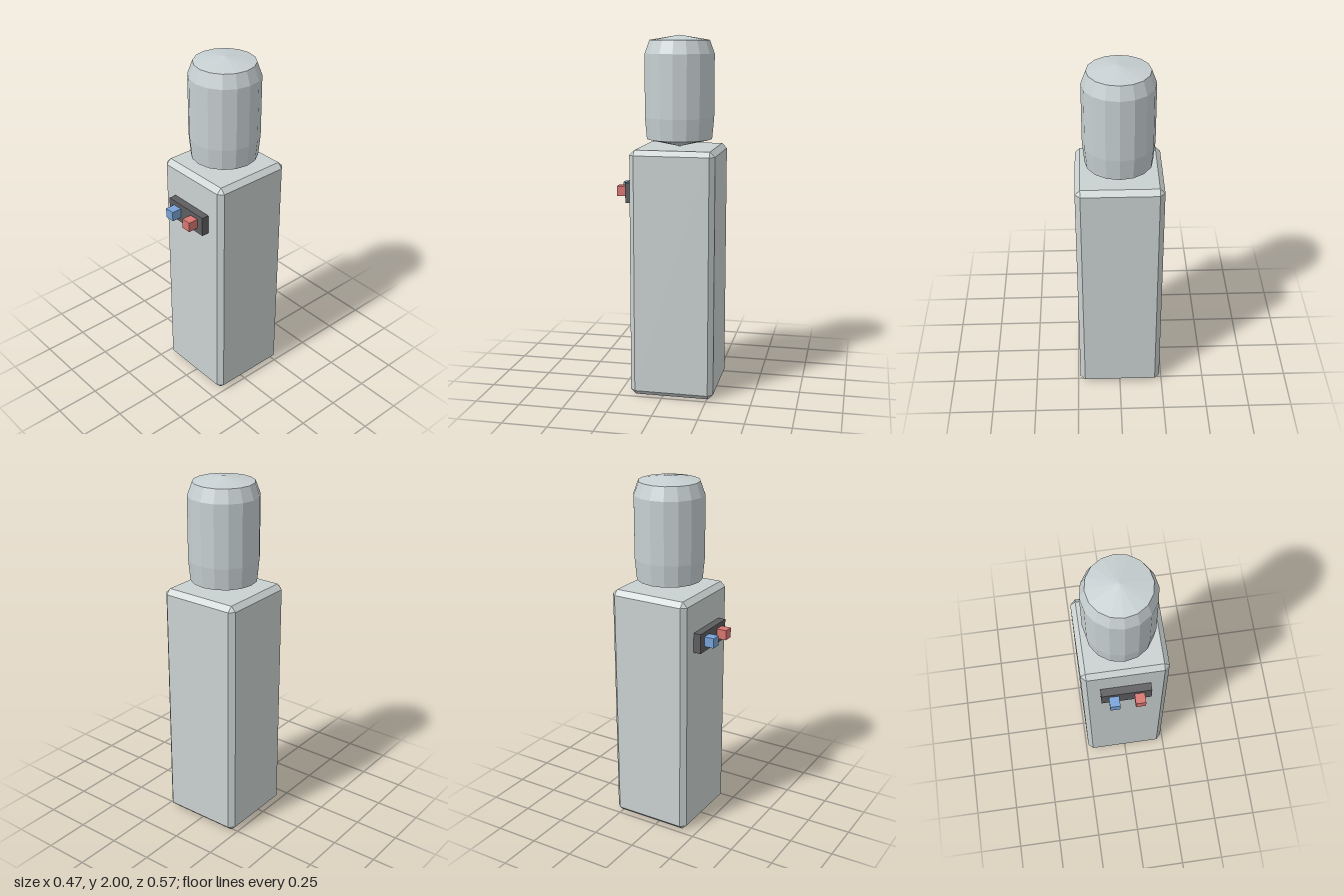
import * as THREE from 'three';
import { ConvexGeometry } from 'three/addons/geometries/ConvexGeometry.js';

function material(name, color) {
  const m = new THREE.MeshStandardMaterial({ color, flatShading: true });
  m.name = name;
  return m;
}

// Box with all edges cut at 45 degrees and small triangular corners
function chamferBox(w, h, d, c) {
  const points = [];
  for (const sx of [-1, 1]) for (const sy of [-1, 1]) for (const sz of [-1, 1]) {
    for (let axis = 0; axis < 3; axis++) {
      const inset = [c, c, c];
      inset[axis] = 0;
      points.push(new THREE.Vector3(
        sx * (w / 2 - inset[0]), sy * (h / 2 - inset[1]), sz * (d / 2 - inset[2])));
    }
  }
  return new ConvexGeometry(points);
}

export function createModel() {
  const model = new THREE.Group();
  model.name = 'waterCooler';

  const casing = material('casing grey', 0xcad2d1);
  const bottleGrey = material('bottle grey', 0xc7d0d2);
  const dark = material('dark panel', 0x5e5d60);
  const blue = material('cold blue', 0x78a3d8);
  const red = material('hot red', 0xd87672);

  function add(name, geometry, mat, x, y, z) {
    const mesh = new THREE.Mesh(geometry, mat);
    mesh.name = name;
    mesh.position.set(x, y, z);
    model.add(mesh);
  }

  // Cabinet
  add('cabinet', chamferBox(0.474, 1.39, 0.47, 0.028), casing, 0, 0.695, -0.05);

  // Upturned bottle with conical ends
  const profile = [
    [0, 1.392], [0.183, 1.435], [0.194, 1.555], [0.194, 1.9], [0.167, 1.973], [0, 2],
  ].map(([r, y]) => new THREE.Vector2(r, y));
  add('bottle', new THREE.LatheGeometry(profile, 16), bottleGrey, 0, 0, -0.05);

  // Tap panel and the two taps
  add('tapPanel', new THREE.BoxGeometry(0.277, 0.112, 0.043), dark, 0, 1.142, 0.2065);
  for (const [name, mat, x] of [['coldTap', blue, -0.07], ['hotTap', red, 0.07]]) {
    add(name, new THREE.BoxGeometry(0.056, 0.056, 0.057), mat, x, 1.144, 0.2565);
  }

  return model;
}
